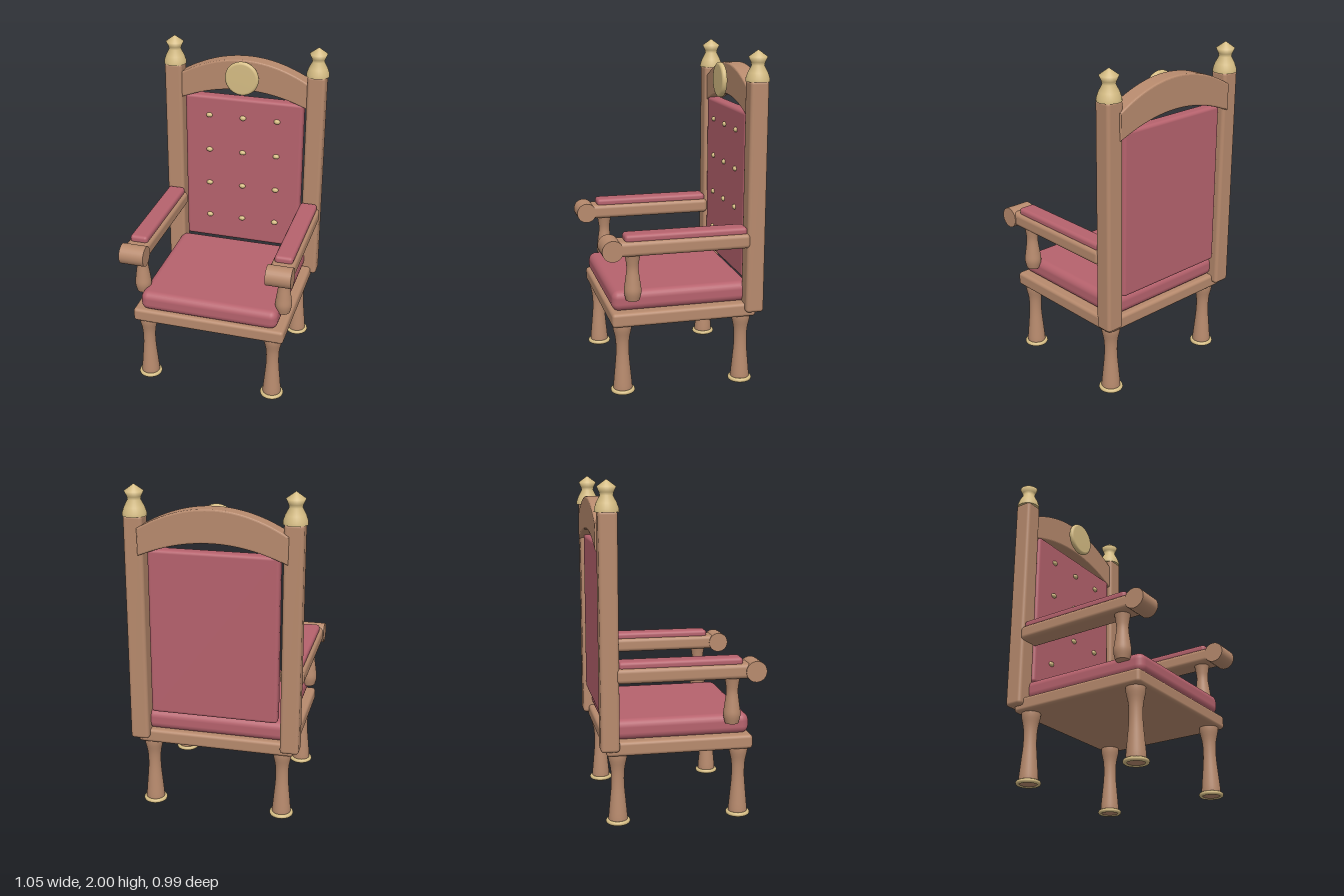
import * as THREE from 'three';
import { RoundedBoxGeometry } from 'three/addons/geometries/RoundedBoxGeometry.js';

export function createModel() {
  const chair = new THREE.Group();
  chair.name = 'armchair';

  const paint = (name, color) => {
    const m = new THREE.MeshStandardMaterial({ color });
    m.name = name;
    return m;
  };
  const wood = paint('warm wood', 0xb78a6d);
  const fabric = paint('rose upholstery', 0xb6626d);
  const gold = paint('brass', 0xd6bd84);

  const add = (name, geometry, material, x = 0, y = 0, z = 0) => {
    const mesh = new THREE.Mesh(geometry, material);
    mesh.name = name;
    mesh.position.set(x, y, z);
    chair.add(mesh);
    return mesh;
  };
  // Rounded box given by its lower and upper limits on each axis
  const block = (name, material, [x0, x1], [y0, y1], [z0, z1], radius) =>
    add(name, new RoundedBoxGeometry(x1 - x0, y1 - y0, z1 - z0, 3, radius), material,
      (x0 + x1) / 2, (y0 + y1) / 2, (z0 + z1) / 2);
  const points = (list) => list.map(([r, y]) => new THREE.Vector2(r, y));
  // Turned piece: smooth side through the given radii, closed by flat ends
  const turned = (list) => {
    const side = new THREE.SplineCurve(points(list)).getPoints(20);
    const first = side[0], last = side[side.length - 1];
    return new THREE.LatheGeometry([new THREE.Vector2(0, first.y), first.clone(), ...side,
      last.clone(), new THREE.Vector2(0, last.y)], 28);
  };

  // Seat
  block('seatFrame', wood, [-0.475, 0.475], [0.425, 0.51], [-0.44, 0.43], 0.02);
  block('seatCushion', fabric, [-0.43, 0.43], [0.505, 0.628], [-0.42, 0.42], 0.045);

  // Legs with brass foot rings
  const legShape = turned([[0.055, 0.006], [0.056, 0.04], [0.048, 0.13], [0.039, 0.24],
    [0.041, 0.33], [0.055, 0.4], [0.056, 0.44]]);
  const ringShape = new THREE.TorusGeometry(0.06, 0.0125, 10, 32).rotateX(Math.PI / 2);
  for (const x of [-0.4, 0.4]) {
    for (const z of [-0.368, 0.36]) {
      add('leg', legShape, wood, x, 0, z);
      add('footRing', ringShape, gold, x, 0.0125, z);
    }
  }

  // Back cushion and its buttons
  block('backCushion', fabric, [-0.38, 0.38], [0.64, 1.638], [-0.46, -0.378], 0.02);
  const buttonShape = new THREE.SphereGeometry(0.021, 14, 10).scale(1, 0.75, 0.75);
  for (const x of [-0.22, 0, 0.22]) {
    for (const y of [0.805, 1.041, 1.277, 1.513]) add('button', buttonShape, gold, x, y, -0.377);
  }

  // Back posts with finials
  const finialShape = new THREE.LatheGeometry(points([[0, 1.822], [0.07, 1.822], [0.07, 1.822],
    [0.069, 1.84], [0.058, 1.872], [0.037, 1.912], [0.041, 1.93], [0.055, 1.96], [0, 2]]), 28);
  for (const s of [-1, 1]) {
    const x = s * 0.455;
    block('backPost', wood, [x - 0.056, x + 0.056], [0.46, 1.83], [-0.476, -0.367], 0.02);
    add('finial', finialShape, gold, x, 0, -0.422);
  }

  // Arched top rail
  const arch = new THREE.Shape();
  arch.moveTo(-0.42, 1.615);
  arch.quadraticCurveTo(0, 1.8, 0.42, 1.615);
  arch.lineTo(0.42, 1.755);
  arch.quadraticCurveTo(0, 2.005, -0.42, 1.755);
  arch.closePath();
  add('topRail', new THREE.ExtrudeGeometry(arch, {
    depth: 0.085, curveSegments: 28, bevelSize: 0.01, bevelThickness: 0.01, bevelSegments: 3,
  }), wood, 0, 0, -0.4755);

  // Round medallion with a soft rim
  const rim = [new THREE.Vector2(0, -0.017)];
  for (let i = 0; i <= 8; i++) {
    const a = -Math.PI / 2 + (i / 8) * Math.PI;
    rim.push(new THREE.Vector2(0.09 + 0.017 * Math.cos(a), 0.017 * Math.sin(a)));
  }
  rim.push(new THREE.Vector2(0, 0.017));
  add('medallion', new THREE.LatheGeometry(rim, 40).rotateX(Math.PI / 2), gold, 0, 1.786, -0.343);

  // Arms: rail, pad, scroll end and turned support
  const supportShape = turned([[0.04, 0.585], [0.051, 0.635], [0.045, 0.69], [0.035, 0.77],
    [0.039, 0.82], [0.048, 0.87]]);
  const scrollShape = new THREE.CylinderGeometry(0.062, 0.062, 0.152, 28).rotateZ(Math.PI / 2);
  for (const s of [-1, 1]) {
    const x = s * 0.446;
    block('armRail', wood, [x - 0.071, x + 0.071], [0.86, 0.948], [-0.386, 0.44], 0.025);
    block('armPad', fabric, [x - 0.055, x + 0.055], [0.935, 0.985], [-0.37, 0.356], 0.02);
    add('armScroll', scrollShape, wood, x, 0.902, 0.431);
    add('armSupport', supportShape, wood, x, 0, 0.305);
  }

  return chair;
}
